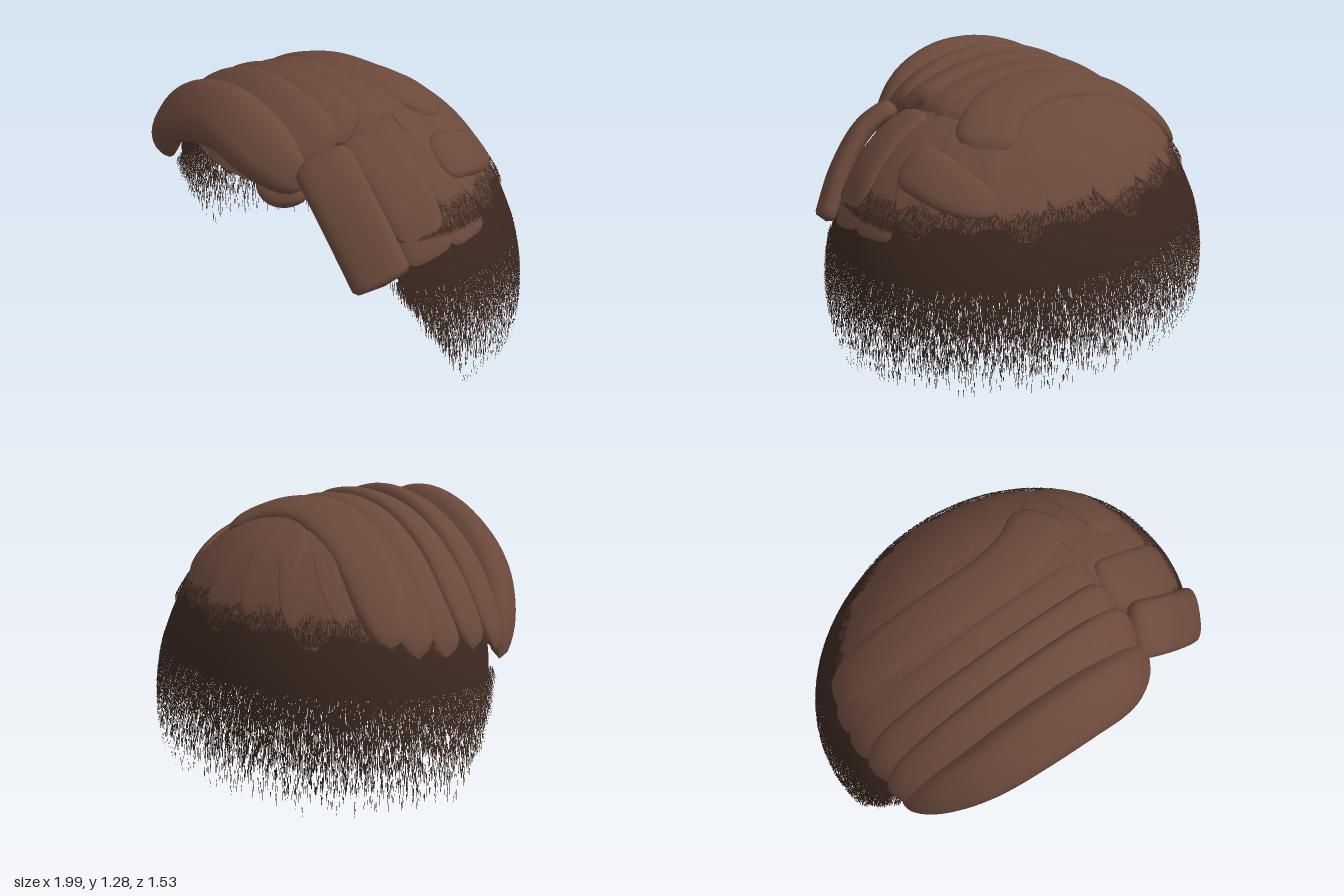
import * as THREE from 'three';

const brown = new THREE.MeshStandardMaterial({ color: 0x6b493b, side: THREE.DoubleSide });
brown.name = 'brown hair';
const dark = new THREE.MeshStandardMaterial({ color: 0x3a271f, side: THREE.DoubleSide });
dark.name = 'dark stubble';

// Head ellipsoid: centre and radii
const CY = 0.25, CZ = 0.05, RX = 0.99, RY = 0.98, RZ = 0.81;
const level = y => Math.sqrt(Math.max(0, 1 - ((y - CY) / RY) ** 2));
const onHead = (a, y, k = 1) => new THREE.Vector3(
  RX * k * Math.sin(a) * level(y), y, CZ + RZ * k * Math.cos(a) * level(y));
const headNormal = p => new THREE.Vector3(
  p.x / RX ** 2, (p.y - CY) / RY ** 2, (p.z - CZ) / RZ ** 2).normalize();

// Height of the front edge of the hair at an angle around the head
const frontEdge = a => 1.6 * Math.cos(a) / Math.sqrt(1 + 1.21 * Math.cos(a) ** 2);
const hairline = (a, low) => Math.max(low, Math.min(0.9, frontEdge(a)));

// Surface from rings of points, closed around each ring
function loft(rows, cols, point) {
  const pos = [], idx = [];
  for (let i = 0; i <= rows; i++)
    for (let j = 0; j < cols; j++) pos.push(...point(i / rows, j / cols).toArray());
  for (let i = 0; i < rows; i++)
    for (let j = 0; j < cols; j++) {
      const a = i * cols + j, b = i * cols + (j + 1) % cols;
      idx.push(a, a + cols, b, b, a + cols, b + cols);
    }
  const g = new THREE.BufferGeometry();
  g.setAttribute('position', new THREE.Float32BufferAttribute(pos, 3));
  g.setIndex(idx);
  g.computeVertexNormals();
  return g;
}

// Rounded lock lying on the head: w across, h outward, under = depth of its inner side
function lockGeometry(points, w, h, { start = 0.1, end = 0.12, tip = 1, under = 0.3 } = {}) {
  const curve = new THREE.CatmullRomCurve3(points.map(p => new THREE.Vector3(...p)));
  const round = s => Math.sqrt(Math.max(0, 1 - (1 - Math.min(1, s)) ** 2));
  const power = v => Math.sign(v) * Math.abs(v) ** 0.75;
  return loft(36, 28, (s, v) => {
    const c = curve.getPointAt(s), t = curve.getTangentAt(s);
    const n = headNormal(c);
    n.addScaledVector(t, -n.dot(t)).normalize();
    const b = new THREE.Vector3().crossVectors(t, n);
    const f = round(s / start) * round((1 - s) / end) * (1 + (tip - 1) * s);
    const a = v * Math.PI * 2, up = power(Math.sin(a));
    return c.addScaledVector(b, w * f * power(Math.cos(a)))
      .addScaledVector(n, h * f * (up < 0 ? up * under : up));
  });
}

// Many tiny flat hairs lying on the head
function hairs(count, seed, place) {
  const rand = () => (seed = (seed * 16807) % 2147483647) / 2147483647;
  const pos = [], nor = [];
  for (let i = 0; i < count; i++) {
    const a = rand() * Math.PI * 2;
    const { y, len, lift } = place(rand);
    if (y < frontEdge(a) - 0.07 * rand()) continue;
    const da = 0.0022, lean = (rand() - 0.5) * 0.012;
    const tri = [onHead(a - da, y, lift), onHead(a + lean, Math.max(0, y - len), lift + 0.005),
      onHead(a + da, y, lift)];
    for (const p of tri) {
      pos.push(...p.toArray());
      nor.push(...headNormal(p).toArray());
    }
  }
  const g = new THREE.BufferGeometry();
  g.setAttribute('position', new THREE.Float32BufferAttribute(pos, 3));
  g.setAttribute('normal', new THREE.Float32BufferAttribute(nor, 3));
  return g;
}

export function createModel() {
  const model = new THREE.Group();
  model.name = 'hair';
  const add = (name, geometry, material = brown) => {
    const m = new THREE.Mesh(geometry, material);
    m.name = name;
    model.add(m);
  };

  // Scalp cap and the darker faded band under it
  add('scalpCap', loft(24, 96, (s, v) => {
    const a = v * Math.PI * 2;
    const e = Math.acos((hairline(a, 0.8) - CY) / RY) * s;
    return onHead(a, CY + RY * Math.cos(e));
  }));
  add('fadeBand', loft(10, 96, (s, v) => {
    const a = v * Math.PI * 2;
    return onHead(a, THREE.MathUtils.lerp(hairline(a, 0.8), hairline(a, 0.55), s));
  }), dark);

  // Stubble thinning downward, and speckles blending into the cap
  add('stubble', hairs(44000, 7, r => ({ y: 0.03 + 0.57 * Math.cbrt(r()), len: 0.05, lift: 1 })), dark);
  add('upperStubble', hairs(22000, 99, r => ({ y: 0.77 + 0.2 * r() ** 1.7, len: 0.025, lift: 1.022 })), dark);

  // Front roll and the small curl under its end
  add('frontRoll', lockGeometry([[-0.83, 0.62, 0.43], [-0.7, 0.8, 0.51], [-0.5, 0.97, 0.58],
    [-0.25, 1.09, 0.61], [0, 1.125, 0.62], [0.2, 1.07, 0.61], [0.34, 0.99, 0.57], [0.43, 0.93, 0.53]],
  0.15, 0.11, { start: 0.6, end: 0.25, under: 0.9 }));
  add('frontCurl', lockGeometry([[0.2, 0.92, 0.63], [0.32, 0.88, 0.62], [0.44, 0.91, 0.54]],
    0.045, 0.035, { start: 0.4, end: 0.4, under: 1 }));

  // Overlapping bands combed across the top: [z at parting, z on top, z at tip, tip x]
  const arch = x => 0.23 + 0.955 * Math.sqrt(1 - x * x);
  const bands = [[0.44, 0.46, 0.39, -0.85], [0.32, 0.33, 0.25, -0.87], [0.16, 0.19, 0.1, -0.88],
    [0, 0.06, -0.04, -0.87], [-0.25, -0.06, -0.15, -0.83]];
  bands.forEach(([z0, z1, z2, end], i) => {
    const drop = i === 0 ? 0.06 : 0;
    const path = [0.43, 0.22, 0, -0.25, -0.5, -0.7, -0.8, end].map(x => {
      const k = x > 0 ? x / 0.43 : x / end;
      const z = THREE.MathUtils.lerp(z1, x > 0 ? z0 : z2, k * k);
      const back = z < -0.1 ? (-0.1 - z) * 0.3 : 0;
      return [x, arch(x) - drop * k * k - back, z];
    });
    add('topBand' + (i + 1), lockGeometry(path, 0.145, 0.065,
      { start: 0.08, end: 0.2, tip: 0.85, under: 0.8 }));
  });

  // Side locks falling from the parting
  add('sideLockFront', lockGeometry([[0.4, 1.06, 0.45], [0.55, 0.98, 0.48], [0.7, 0.81, 0.47],
    [0.83, 0.59, 0.43]], 0.135, 0.06, { end: 0.05, under: 0.7 }));
  [[0.22, 0.62], [0.01, 0.65]].forEach(([z, y], i) => add('sideLock' + (i + 2), lockGeometry(
    [[0.4, 1.1, z], [0.57, 1.02, z + 0.01], [0.735, 0.86, z], [0.86, y, z - 0.04]],
    0.13, 0.045, { end: 0.1 })));

  // Lock swept backward along the side
  const sweep = [[0.99, 0.01], [0.97, -0.15], [0.925, -0.3], [0.87, -0.45]].map(([y, z]) =>
    [RX * Math.sqrt(level(y) ** 2 - ((z - CZ) / RZ) ** 2), y, z]);
  add('sideLockBack', lockGeometry(sweep, 0.12, 0.05, { start: 0.18, end: 0.7 }));

  // Flat tapering locks down the back of the crown
  for (let i = 0; i < 9; i++) {
    const a = THREE.MathUtils.degToRad(105 + i * 19);
    const path = [1.17, 1.08, 0.97, 0.86, 0.74 + 0.04 * (i % 2)]
      .map((y, k) => onHead(a + 0.04 * k, y, 1.003).toArray());
    add('backLock' + (i + 1), lockGeometry(path, 0.14, 0.014, { start: 0.4, end: 0.5, under: 0.1 }));
  }
  return model;
}
